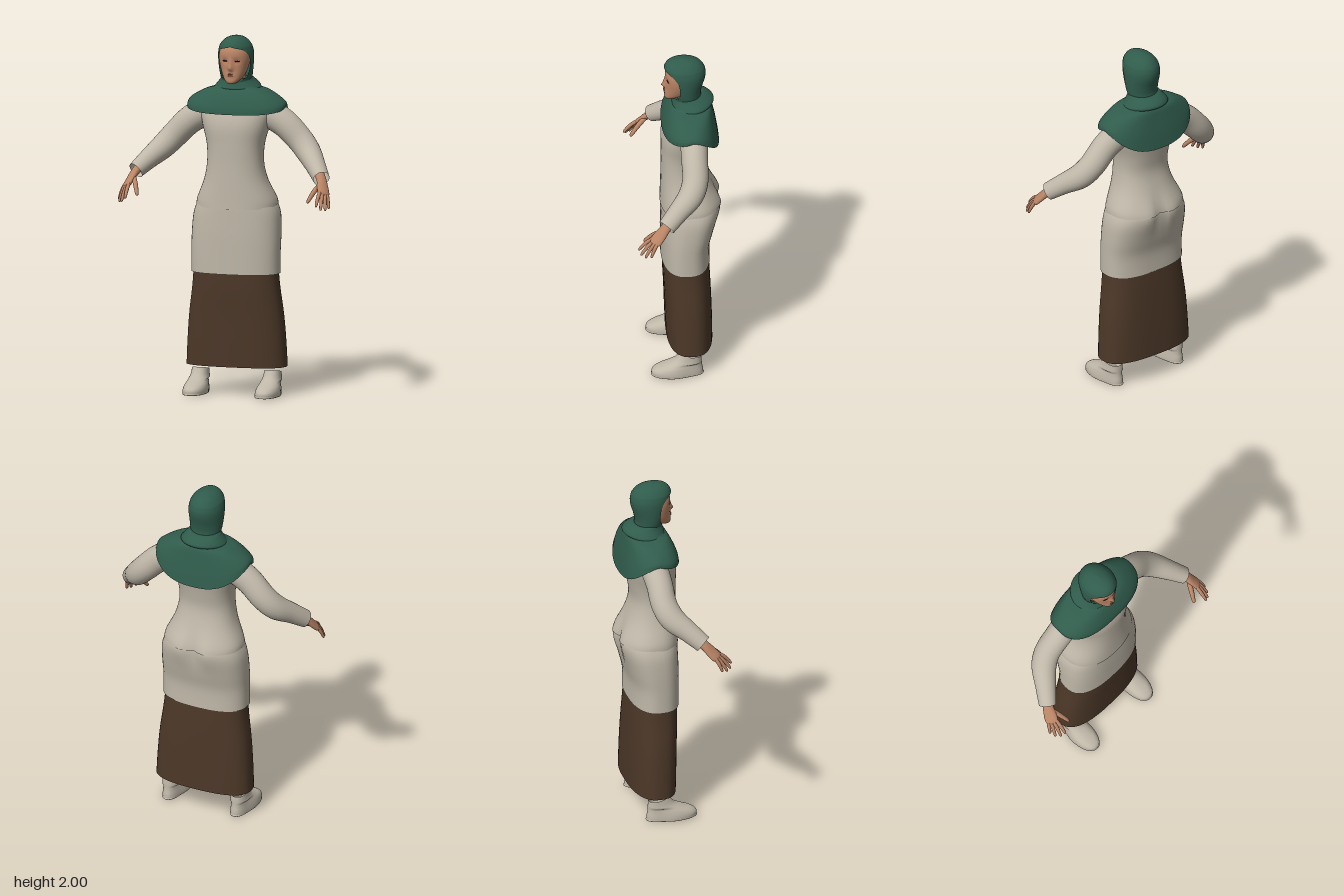
import * as THREE from 'three';

const mat = (name, color) => {
  const m = new THREE.MeshStandardMaterial({ color, side: THREE.DoubleSide });
  m.name = name;
  return m;
};

// Skin a list of point rings into one smooth surface
function skin(rings, closed = true) {
  const n = rings[0].length, pos = [], idx = [];
  rings.forEach(r => r.forEach(p => pos.push(p.x, p.y, p.z)));
  for (let i = 0; i < rings.length - 1; i++)
    for (let j = 0; j < (closed ? n : n - 1); j++) {
      const k = (j + 1) % n, a = i * n + j, b = i * n + k, c = a + n, d = b + n;
      idx.push(a, b, c, b, d, c);
    }
  const g = new THREE.BufferGeometry();
  g.setAttribute('position', new THREE.Float32BufferAttribute(pos, 3));
  g.setIndex(idx);
  g.computeVertexNormals();
  return g;
}

// Catmull-Rom refinement of section rows of equal length
function refine(rows, steps) {
  const out = [], at = i => rows[Math.max(0, Math.min(rows.length - 1, i))];
  for (let i = 0; i < rows.length - 1; i++)
    for (let s = 0; s < steps; s++) {
      const t = s / steps;
      out.push(rows[i].map((p1, k) => {
        const p0 = at(i - 1)[k], p2 = at(i + 1)[k], p3 = at(i + 2)[k];
        return p1 + 0.5 * t * (p2 - p0 + t * (2 * p0 - 5 * p1 + 4 * p2 - p3 + t * (3 * (p1 - p2) + p3 - p0)));
      }));
    }
  out.push(rows[rows.length - 1]);
  return out;
}

// Upright loft. Row: [y, half width, front z, back z, opening angle, front lift, back lift], last three default to 0
function loft(rows, { n = 48, e = 2, steps = 4, mod, open = false, x0 = 0 } = {}) {
  const pw = v => Math.sign(v) * Math.abs(v) ** (2 / e);
  const full = rows.map(r => [...r, 0, 0, 0].slice(0, 7));
  const rings = refine(full, steps).map(([y, rx, zf, zb, t0, lf, lb]) => {
    const ring = [], gap = Math.max(0, t0);
    for (let j = 0; j < (open ? n + 1 : n); j++) {
      const t = gap + (2 * Math.PI - 2 * gap) * j / n, c = Math.cos(t);
      const lift = c > 0 ? lf * c ** 0.6 : lb * (-c) ** 1.5;
      const p = new THREE.Vector3(rx * pw(Math.sin(t)), y + lift, (zf + zb) / 2 + (zf - zb) / 2 * pw(c));
      if (mod) mod(p);
      p.x += x0;
      ring.push(p);
    }
    return ring;
  });
  return skin(rings, !open);
}

// Limb loft. Row: [x, y, z, radius along the wide axis, radius across it]
function limb(rows, wide, { n = 20, steps = 5 } = {}) {
  const r = refine(rows, steps), P = r.map(a => new THREE.Vector3(a[0], a[1], a[2]));
  return skin(r.map((a, i) => {
    const d = P[Math.min(i + 1, P.length - 1)].clone().sub(P[Math.max(i - 1, 0)]).normalize();
    const u = wide.clone().addScaledVector(d, -wide.dot(d)).normalize(), v = d.clone().cross(u);
    return Array.from({ length: n }, (_, j) => {
      const t = 2 * Math.PI * j / n;
      return P[i].clone().addScaledVector(u, a[3] * Math.cos(t)).addScaledVector(v, a[4] * Math.sin(t));
    });
  }));
}

const bump = (p, x, y, sx, sy) => Math.exp(-(((p.x - x) / sx) ** 2) - ((p.y - y) / sy) ** 2);

export function createModel() {
  const root = new THREE.Group();
  root.name = 'robedWoman';
  const cloth = mat('beigeCloth', 0xbfb7a8), brown = mat('brownSkirt', 0x4c3828),
    green = mat('greenScarf', 0x305c4c), flesh = mat('skin', 0xbb8566),
    dark = mat('darkLashes', 0x2a1d18), lip = mat('lips', 0x9c6250);
  const add = (name, geo, m, parent = root) => {
    const mesh = new THREE.Mesh(geo, m);
    mesh.name = name;
    parent.add(mesh);
    return mesh;
  };

  // Skirt, open at the hem
  add('skirt', loft([
    [0.16, 0.285, 0.055, -0.2], [0.3, 0.278, 0.06, -0.198], [0.45, 0.266, 0.065, -0.193],
    [0.6, 0.246, 0.072, -0.186], [0.72, 0.236, 0.072, -0.178],
  ], { e: 2.6 }), brown);

  // Tunic: lower panel and fitted upper body
  const seat = p => {
    if (p.z < -0.1) p.z += 0.022 * bump(p, 0, 1.05, 0.035, 0.09) - 0.008 * bump({ x: Math.abs(p.x), y: p.y }, 0.08, 1.05, 0.05, 0.08);
  };
  add('tunicPanel', loft([
    [0.68, 0.25, 0.082, -0.187], [0.8, 0.25, 0.082, -0.187], [0.9, 0.25, 0.082, -0.21],
    [1.0, 0.243, 0.08, -0.234], [1.06, 0.224, 0.078, -0.238], [1.1, 0.2, 0.07, -0.22],
  ], { e: 2.5, mod: seat }), cloth);
  add('tunicBody', loft([
    [1.062, 0.228, 0.087, -0.246, 0, -0.02], [1.1, 0.22, 0.085, -0.235, 0, -0.01], [1.2, 0.176, 0.082, -0.192],
    [1.3, 0.157, 0.08, -0.167], [1.4, 0.161, 0.081, -0.178], [1.5, 0.187, 0.08, -0.196],
    [1.58, 0.2, 0.058, -0.195], [1.64, 0.165, 0.025, -0.175], [1.69, 0.08, -0.01, -0.13],
  ], { e: 2.3, mod: seat }), cloth);

  // Scarf cape with a pointed back, and a rolled collar
  add('scarfCape', loft([
    [1.612, 0.281, 0.08, -0.238, 0, -0.042, -0.135], [1.635, 0.274, 0.074, -0.225, 0, -0.03, -0.075],
    [1.665, 0.235, 0.055, -0.208, 0, -0.012, -0.025], [1.693, 0.18, 0.032, -0.195],
    [1.71, 0.125, 0.012, -0.18], [1.735, 0.098, 0.0, -0.165],
  ], { e: 2.5, n: 64 }), green);
  add('scarfCollar', loft([
    [1.695, 0.1, 0.0, -0.16], [1.705, 0.13, 0.02, -0.195], [1.722, 0.122, 0.016, -0.212],
    [1.745, 0.102, 0.01, -0.195], [1.765, 0.085, 0.005, -0.15], [1.745, 0.07, -0.01, -0.13],
  ]), green);

  // Hood with an oval opening for the face
  add('scarfHood', loft([
    [1.72, 0.086, 0.01, -0.15, 0], [1.745, 0.084, 0.012, -0.145, 0.35], [1.775, 0.09, 0.02, -0.14, 0.95],
    [1.82, 0.095, 0.038, -0.148, 1.18], [1.87, 0.098, 0.055, -0.163, 1.2], [1.905, 0.097, 0.062, -0.167, 1.05],
    [1.93, 0.092, 0.064, -0.163, 0.7], [1.947, 0.086, 0.062, -0.156], [1.973, 0.066, 0.047, -0.135],
    [1.991, 0.038, 0.015, -0.1], [2, 0, -0.045, -0.045],
  ], { open: true }), green);

  // Head with a modelled face
  const head = new THREE.Group();
  head.name = 'head';
  root.add(head);
  add('face', loft([
    [1.737, 0, 0.035, 0.035], [1.742, 0.024, 0.056, 0.0], [1.758, 0.042, 0.062, -0.03], [1.785, 0.061, 0.058, -0.08],
    [1.825, 0.076, 0.054, -0.1], [1.87, 0.085, 0.056, -0.11], [1.91, 0.083, 0.056, -0.11],
    [1.94, 0.07, 0.045, -0.1], [1.965, 0.045, 0.02, -0.08], [1.975, 0, -0.03, -0.03],
  ], {
    n: 64, e: 2.15, mod: p => {
      if (p.z < 0) return;
      const side = { x: Math.abs(p.x), y: p.y };
      p.z += 0.022 * bump(p, 0, 1.825, 0.013, 0.014) + 0.012 * bump(p, 0, 1.85, 0.011, 0.024)
        + 0.007 * bump(p, 0, 1.79, 0.022, 0.012) - 0.008 * bump(side, 0.033, 1.866, 0.018, 0.013);
    },
  }), flesh, head);
  add('neck', new THREE.CylinderGeometry(0.05, 0.06, 0.16, 24).translate(0, 1.72, -0.06), flesh, head);
  const plate = (name, w, h, x, y, z, m, turn = 0) => {
    const mesh = add(name, new THREE.SphereGeometry(1, 16, 8).scale(w, h, 0.004), m, head);
    mesh.position.set(x, y, z);
    mesh.rotation.y = turn;
  };
  plate('upperLip', 0.017, 0.0035, 0, 1.795, 0.063, lip);
  plate('lowerLip', 0.014, 0.0035, 0, 1.786, 0.063, lip);
  for (const s of [-1, 1]) plate('eyelashes', 0.017, 0.0035, s * 0.036, 1.866, 0.043, dark, s * 0.35);

  // One arm, hand and shoe, then mirrored
  for (const s of [1, -1]) {
    const side = new THREE.Group();
    side.name = s > 0 ? 'leftSide' : 'rightSide';
    side.scale.x = s;
    root.add(side);

    add('sleeve', limb([
      [0.14, 1.575, -0.09, 0.075, 0.08], [0.2, 1.555, -0.088, 0.076, 0.08], [0.28, 1.505, -0.085, 0.073, 0.077],
      [0.36, 1.425, -0.083, 0.072, 0.073], [0.42, 1.36, -0.052, 0.07, 0.068], [0.48, 1.3, 0.02, 0.058, 0.056],
      [0.535, 1.24, 0.09, 0.05, 0.046],
    ], new THREE.Vector3(0, 0.3, 1), { n: 28 }), cloth, side);

    // Hand: flat palm, then tapering fingers and thumb
    const hand = new THREE.Group();
    hand.name = 'hand';
    side.add(hand);
    const wide = new THREE.Vector3(-0.7, 0.3, 0.7);
    add('palm', limb([
      [0.51, 1.27, 0.058, 0.03, 0.026], [0.538, 1.232, 0.097, 0.03, 0.022], [0.555, 1.195, 0.13, 0.036, 0.018],
      [0.569, 1.163, 0.158, 0.034, 0.015], [0.574, 1.152, 0.167, 0.004, 0.004],
    ], wide), flesh, hand);
    const fingers = [
      ['indexFinger', [0.55, 1.172, 0.176], [0.55, 1.105, 0.247]],
      ['middleFinger', [0.563, 1.164, 0.168], [0.574, 1.085, 0.236]],
      ['ringFinger', [0.575, 1.16, 0.157], [0.594, 1.08, 0.212]],
      ['littleFinger', [0.584, 1.16, 0.145], [0.605, 1.088, 0.18]],
      ['thumb', [0.535, 1.208, 0.125], [0.489, 1.12, 0.213]],
    ];
    for (const [name, a, b] of fingers) {
      const r = name === 'thumb' ? 0.014 : 0.0105;
      const row = (t, k, bulge = 0) => [0, 1, 2].map(i => a[i] + (b[i] - a[i]) * t + (i === 1 ? bulge : 0)).concat(r * k, r * k);
      add(name, limb([row(-0.1, 0.9), row(0.3, 1, 0.007), row(0.65, 0.9, 0.006), row(0.93, 0.65), row(1, 0.02)],
        wide, { n: 10, steps: 3 }), flesh, hand);
    }

    // Shoe, narrower at the heel, open at the ankle
    add('shoe', loft([
      [0, 0, 0.005, 0.005], [0.004, 0.06, 0.138, -0.13], [0.014, 0.067, 0.147, -0.137], [0.035, 0.066, 0.145, -0.136],
      [0.055, 0.062, 0.118, -0.132], [0.072, 0.057, 0.075, -0.13], [0.1, 0.049, 0.02, -0.128],
      [0.132, 0.045, -0.012, -0.125, 0, 0.013, -0.008],
    ], {
      e: 2.3, x0: 0.208, mod: p => { if (p.y < 0.08) p.x *= 1 - 0.2 * THREE.MathUtils.smoothstep(-p.z, -0.03, 0.08); },
    }), cloth, side);
  }
  return root;
}
